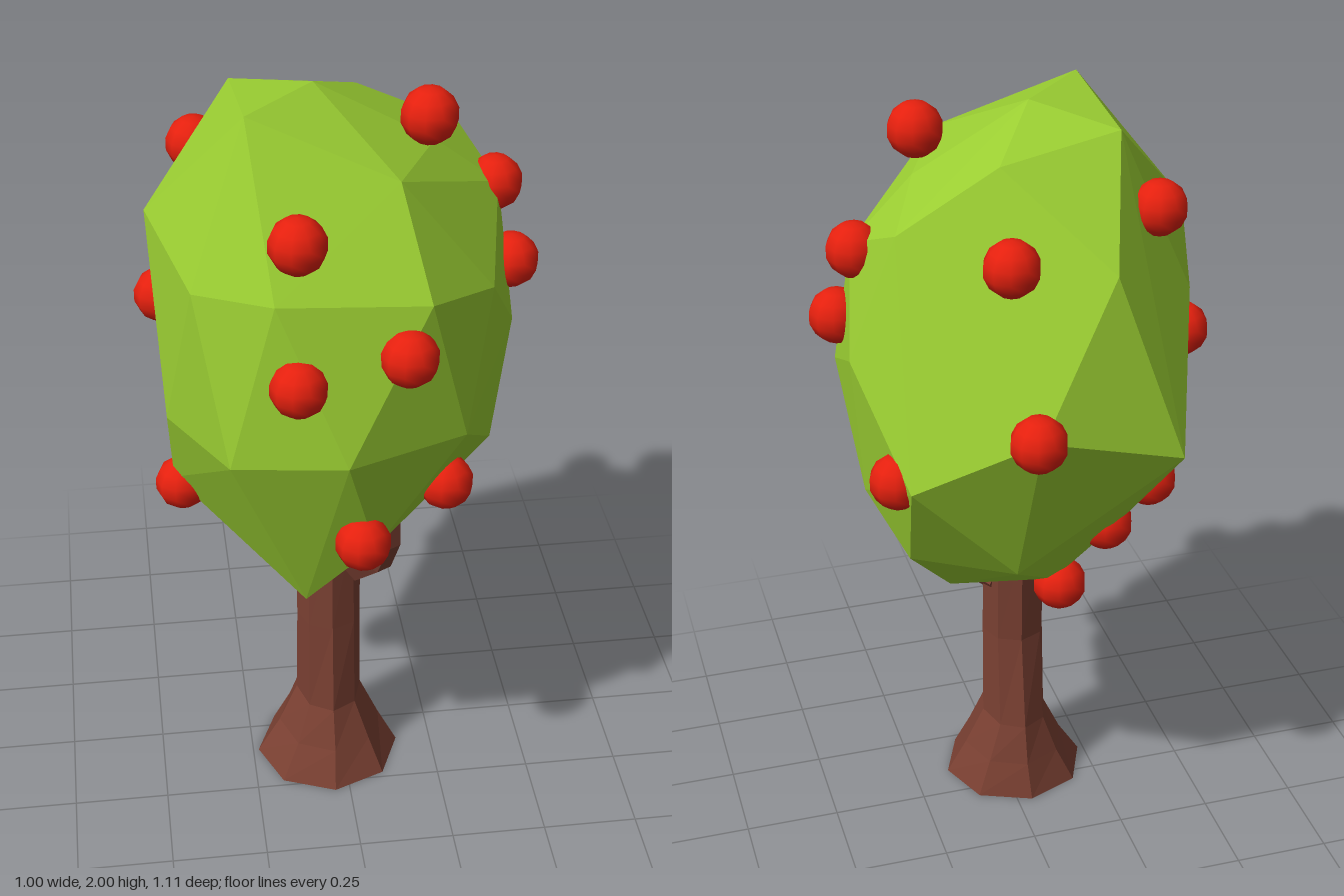
import * as THREE from 'three';
import { ConvexGeometry } from 'three/addons/geometries/ConvexGeometry.js';

const vec = ([x, y, z]) => new THREE.Vector3(x, y, z);
const paint = (color, flatShading) => new THREE.MeshStandardMaterial({ color, flatShading });

function part(name, geometry, material, parent) {
  const mesh = new THREE.Mesh(geometry, material);
  mesh.name = name;
  parent.add(mesh);
  return mesh;
}

// Capped loft through rings [x, y, z, radiusX, radiusZ]; rings lie flat or follow the path
function loft(rings, sides, flat) {
  const up = new THREE.Vector3(0, 1, 0);
  const centres = rings.map(vec);
  const pos = [], index = [];
  centres.forEach((c, i) => {
    const before = centres[Math.max(i - 1, 0)];
    const after = centres[Math.min(i + 1, centres.length - 1)];
    const dir = flat ? up : after.clone().sub(before).normalize();
    const q = new THREE.Quaternion().setFromUnitVectors(up, dir);
    const [rx, rz = rx] = rings[i].slice(3);
    for (let k = 0; k < sides; k++) {
      const a = k / sides * Math.PI * 2;
      const p = new THREE.Vector3(Math.sin(a) * rx, 0, Math.cos(a) * rz);
      pos.push(...p.applyQuaternion(q).add(c));
    }
  });
  const last = (rings.length - 1) * sides;
  for (let k = 0; k < sides; k++) {
    const n = (k + 1) % sides;
    for (let r = 0; r < last; r += sides) {
      index.push(r + k, r + n, r + sides + n, r + k, r + sides + n, r + sides + k);
    }
    if (k > 0 && k < sides - 1) index.push(0, n, k, last, last + k, last + n);
  }
  const g = new THREE.BufferGeometry();
  g.setAttribute('position', new THREE.Float32BufferAttribute(pos, 3));
  g.setIndex(index);
  g.computeVertexNormals();
  return g;
}

export function createModel() {
  const tree = new THREE.Group();
  tree.name = 'appleTree';
  const bark = paint(0x7a4032, true), leaf = paint(0x9acd32, true), red = paint(0xe6200e, false);

  // Trunk with flared foot
  part('trunk', loft([
    [-0.04, 0, 0.097, 0.195, 0.19], [-0.035, 0.1, 0.088, 0.138, 0.153],
    [-0.035, 0.21, 0.08, 0.088, 0.12], [-0.035, 0.48, 0.09, 0.085, 0.092],
    [-0.035, 0.79, 0.08, 0.085, 0.088],
  ], 8, true), bark, tree);

  // Bent side branch
  part('branch', loft([
    [0, 0.65, 0.07, 0.05], [0.04, 0.66, 0.13, 0.05], [0.08, 0.72, 0.19, 0.045],
    [0.1, 0.8, 0.225, 0.038], [0.108, 0.888, 0.225, 0.027],
  ], 6, false), bark, tree);

  // Faceted crown, as corner points from top to bottom
  const top = [
    [-0.24, 2, 0.23], [-0.065, 2, 0.055], [0.225, 1.84, 0.06], [0.06, 1.91, -0.13],
    [-0.25, 1.955, -0.09], [0.105, 1.86, 0.315], [0.32, 1.78, -0.16], [-0.17, 1.69, -0.33],
    [0.39, 1.7, 0.02], [-0.47, 1.7, 0.065], [-0.38, 1.61, 0.325], [-0.2, 1.64, 0.465],
    [0.16, 1.62, 0.465], [0.335, 1.56, 0.29], [-0.43, 1.54, -0.12],
  ];
  const middle = [
    [0.43, 1.45, -0.11], [0.425, 1.36, 0.1], [0.06, 1.37, -0.495], [0.355, 1.23, -0.405],
    [-0.315, 1.24, -0.43], [-0.04, 1.24, 0.54], [0.26, 1.23, 0.41], [-0.31, 1.2, 0.445],
    [-0.445, 1.2, 0.2],
  ];
  const bottom = [
    [0.36, 1.08, 0.2], [0.39, 1.05, -0.04], [0.32, 0.94, -0.22], [0.2, 0.8, -0.15],
    [0.08, 0.93, -0.35], [-0.2, 0.96, -0.25], [-0.43, 0.92, 0.05], [-0.06, 0.8, -0.2],
    [-0.1, 0.75, 0.03], [-0.12, 0.7, 0.32], [0.04, 0.93, 0.43],
  ];
  part('crown', new ConvexGeometry([...top, ...middle, ...bottom].map(vec)), leaf, tree);

  // Apples half sunk in the crown
  const apple = new THREE.SphereGeometry(0.07, 10, 7);
  const apples = new THREE.Group();
  apples.name = 'apples';
  tree.add(apples);
  [
    [0.2, 1.93, 0.12], [-0.14, 1.76, 0.4], [-0.15, 1.44, 0.49], [0.105, 1.5, 0.485],
    [0.005, 0.97, 0.46], [0.225, 1.05, 0.34], [-0.41, 0.91, 0.06], [-0.435, 1.4, -0.06],
    [0.385, 1.69, 0], [0.425, 1.5, 0.05], [0.365, 1.22, -0.31], [0.07, 1.37, -0.49],
    [0.08, 1.73, -0.3], [-0.335, 1.77, -0.14], [-0.08, 0.78, -0.19], [-0.18, 0.98, -0.25],
    [-0.28, 1.11, -0.28],
  ].forEach((p) => part('apple', apple, red, apples).position.set(...p));

  return tree;
}
